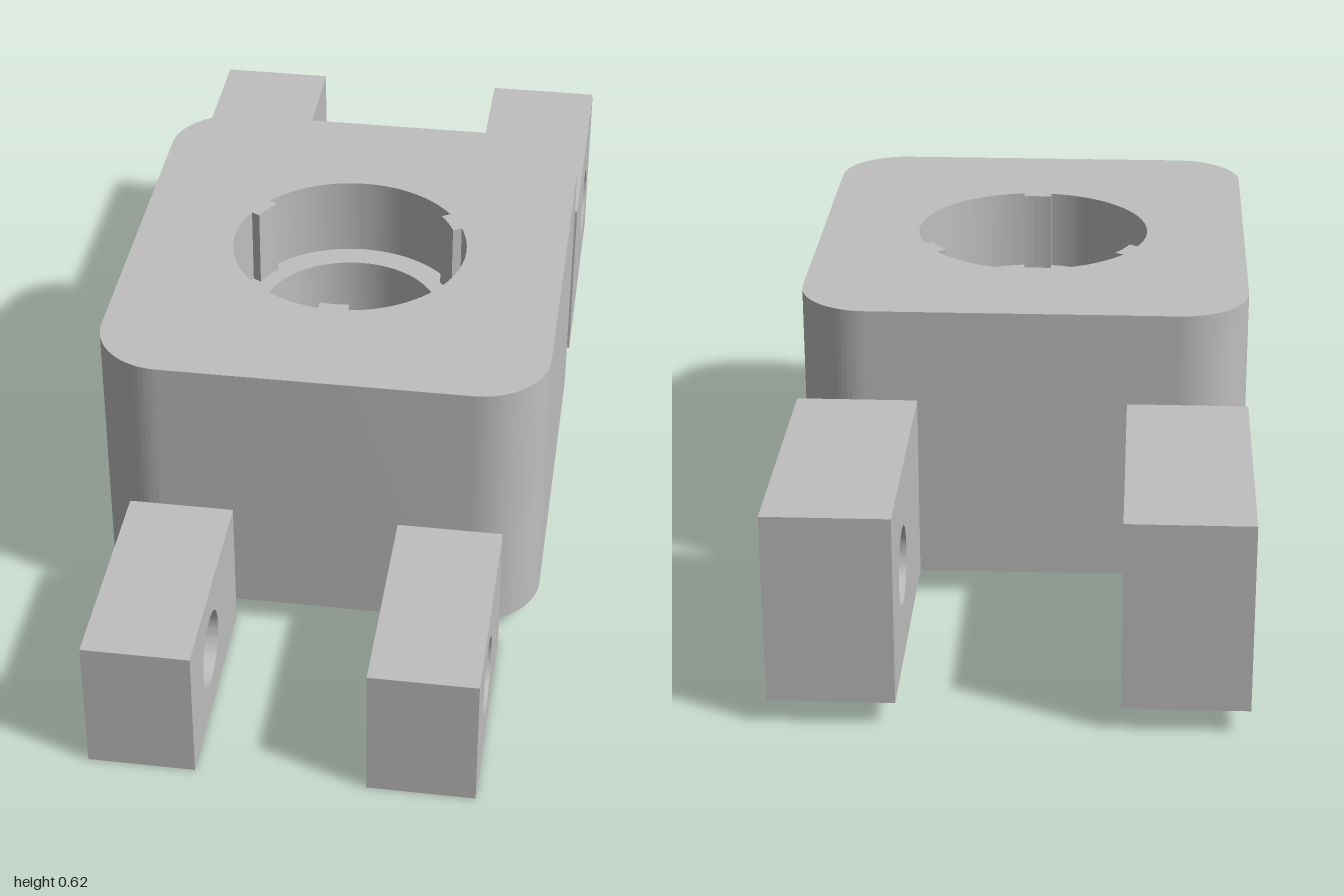
import * as THREE from 'three';
import { toCreasedNormals } from 'three/addons/utils/BufferGeometryUtils.js';

const SOCKET_R = 0.245, BORE_R = 0.19, KEY_R = 0.225, KEY_HALF = 0.03;

function extrude(shape, depth) {
  return new THREE.ExtrudeGeometry(shape, { depth, bevelEnabled: false, curveSegments: 32 });
}

function circle(path, x, y, r) {
  path.absarc(x, y, r, 0, Math.PI * 2, false);
  return path;
}

// Rounded rectangle centred on the origin
function roundedRect(w, h, r) {
  const s = new THREE.Shape(), q = Math.PI / 2;
  s.absarc(w - r, h - r, r, 0, q);
  s.absarc(r - w, h - r, r, q, 2 * q);
  s.absarc(r - w, r - h, r, 2 * q, 3 * q);
  s.absarc(w - r, r - h, r, 3 * q, 4 * q);
  s.closePath();
  return s;
}

// Round socket with three small keys standing in from its wall
function socketPath() {
  const p = new THREE.Path();
  const outer = Math.asin(KEY_HALF / SOCKET_R), inner = Math.asin(KEY_HALF / KEY_R);
  const step = Math.PI * 2 / 3;
  for (let i = 0; i < 3; i++) {
    const a = -Math.PI / 2 + i * step;
    p.absarc(0, 0, KEY_R, a - inner, a + inner, false);
    p.absarc(0, 0, SOCKET_R, a + outer, a + step - outer, false);
  }
  p.closePath();
  return p;
}

// Lug: a block running along z with a cross hole along x
function lugGeometry({ x, y, z, holeY, holeZ }) {
  const s = new THREE.Shape();
  s.moveTo(-z[1], y[0]);
  s.lineTo(-z[0], y[0]);
  s.lineTo(-z[0], y[1]);
  s.lineTo(-z[1], y[1]);
  s.closePath();
  s.holes.push(circle(new THREE.Path(), -holeZ, holeY, 0.077));
  const width = x[1] - x[0];
  const g = extrude(s, width).rotateY(Math.PI / 2).translate(-width / 2, 0, 0);
  return toCreasedNormals(g, 0.5);
}

export function createModel() {
  const model = new THREE.Group();
  model.name = 'bracketBlock';
  const grey = new THREE.MeshStandardMaterial({ color: 0xbfbfbf });
  grey.name = 'plainGrey';

  const add = (name, geometry, x, y, z) => {
    const mesh = new THREE.Mesh(geometry, grey);
    mesh.name = name;
    mesh.position.set(x, y, z);
    model.add(mesh);
  };

  // Main body with the keyed socket right through it
  const bodyShape = roundedRect(0.452, 0.5, 0.14);
  bodyShape.holes.push(socketPath());
  const body = extrude(bodyShape, 0.57).rotateX(-Math.PI / 2);
  add('body', toCreasedNormals(body, 0.5), 0, 0.05, 0.045);

  // Collar halfway up the socket, leaving a ledge above and below
  const collarShape = circle(new THREE.Shape(), 0, 0, SOCKET_R + 0.003);
  collarShape.holes.push(circle(new THREE.Path(), 0, 0, BORE_R));
  const collar = extrude(collarShape, 0.23).rotateX(-Math.PI / 2);
  add('collar', toCreasedNormals(collar, 0.5), 0, 0.22, 0.045);

  // Lower front lugs and taller back lugs, in mirrored pairs
  const lugs = {
    FrontLug: { x: [0.168, 0.38], y: [0, 0.285], z: [0.545, 1], holeY: 0.145, holeZ: 0.81 },
    BackLug: { x: [0.21, 0.452], y: [0.05, 0.43], z: [-1, -0.455], holeY: 0.24, holeZ: -0.81 },
  };
  for (const [name, lug] of Object.entries(lugs)) {
    const geometry = lugGeometry(lug);
    const centre = (lug.x[0] + lug.x[1]) / 2;
    add('left' + name, geometry, centre, 0, 0);
    add('right' + name, geometry, -centre, 0, 0);
  }
  return model;
}
